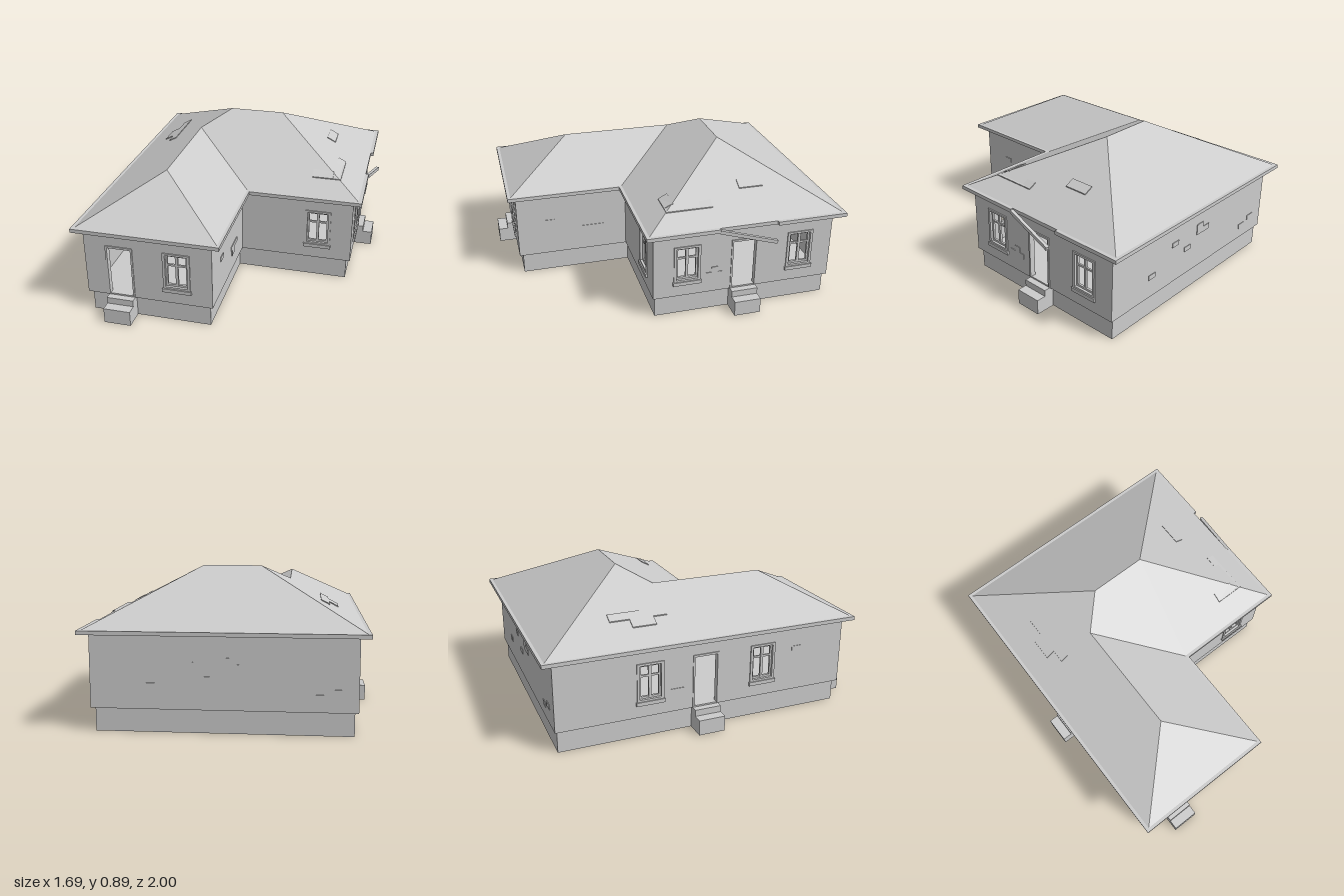
import * as THREE from 'three';

const grey = new THREE.MeshStandardMaterial({ color: 0xcccccc, flatShading: true });
const WALL_BASE = 0.135, WALL_TOP = 0.56, EAVE = 0.58, PITCH = 0.522, THICK = 0.03;

function add(parent, name, geometry) {
  const mesh = new THREE.Mesh(geometry, grey);
  mesh.name = name;
  parent.add(mesh);
  return mesh;
}

// Box given by its extents on each axis
function block(parent, name, x0, x1, y0, y1, z0, z1) {
  const g = new THREE.BoxGeometry(x1 - x0, y1 - y0, z1 - z0);
  g.translate((x0 + x1) / 2, (y0 + y1) / 2, (z0 + z1) / 2);
  return add(parent, name, g);
}

const points = (list) => list.map(([a, b]) => new THREE.Vector2(a, b));
const rect = (a0, a1, b0, b1) => points([[a0, b0], [a1, b0], [a1, b1], [a0, b1]]);

// L-shaped plan outline (x, z); the notch is the front left corner
const plan = (x0, x1, xn, z0, z1, zn) =>
  [[x0, z1], [xn, z1], [xn, zn], [x1, zn], [x1, z0], [x0, z0]];

// Horizontal slab extruded upward from a plan outline
function slab(parent, name, outline, y0, y1, hole) {
  const flip = (o) => points(o.map(([x, z]) => [x, -z]));
  const shape = new THREE.Shape(flip(outline));
  if (hole) shape.holes.push(new THREE.Path(flip(hole)));
  const g = new THREE.ExtrudeGeometry(shape, { depth: y1 - y0, bevelEnabled: false });
  g.rotateX(-Math.PI / 2).translate(0, y0, 0);
  return add(parent, name, g);
}

// Flat frame with a rectangular hole, lying between z0 and z1
function frame(parent, name, outer, inner, z0, z1) {
  const shape = new THREE.Shape(rect(...outer));
  shape.holes.push(new THREE.Path(rect(...inner)));
  const g = new THREE.ExtrudeGeometry(shape, { depth: z1 - z0, bevelEnabled: false });
  g.translate(0, 0, z0);
  return add(parent, name, g);
}

// Casing, sash, glazing bars and sill around the centre u
function addWindow(parent, u) {
  const g = new THREE.Group();
  g.name = 'window';
  g.position.x = u;
  frame(g, 'windowCasing', [-0.082, 0.082, 0.235, 0.47], [-0.066, 0.066, 0.247, 0.457], -0.02, 0.007);
  frame(g, 'windowSash', [-0.068, 0.068, 0.245, 0.459], [-0.055, 0.055, 0.26, 0.446], -0.022, -0.008);
  block(g, 'mullion', -0.008, 0.008, 0.255, 0.45, -0.021, -0.007);
  block(g, 'transom', -0.06, 0.06, 0.382, 0.394, -0.02, -0.009);
  block(g, 'windowSill', -0.088, 0.088, 0.212, 0.235, -0.01, 0.014);
  parent.add(g);
}

// Open doorway with a casing and two steps outside
function addDoor(parent, u) {
  const g = new THREE.Group();
  g.name = 'doorway';
  g.position.x = u;
  for (const s of [-1, 1]) {
    const a = s * 0.072, b = s * 0.083;
    block(g, 'doorJamb', Math.min(a, b), Math.max(a, b), 0.14, 0.47, -THICK, 0.006);
  }
  block(g, 'doorLintel', -0.083, 0.083, 0.457, 0.47, -THICK, 0.006);
  block(g, 'upperStep', -0.082, 0.082, 0, 0.135, -0.025, 0.04);
  block(g, 'lowerStep', -0.082, 0.082, 0, 0.095, 0.04, 0.1);
  parent.add(g);
}

// One outer wall: u runs along local x, outside is local +z
function addWall(parent, name, { u0, u1, windows = [], doors = [], bricks = [], position, turn }) {
  const wall = new THREE.Group();
  wall.name = name;
  const shape = new THREE.Shape(rect(u0, u1, WALL_BASE, WALL_TOP));
  for (const u of windows) {
    shape.holes.push(new THREE.Path(rect(u - 0.07, u + 0.07, 0.242, 0.462)));
    addWindow(wall, u);
  }
  for (const u of doors) {
    shape.holes.push(new THREE.Path(rect(u - 0.075, u + 0.075, 0.144, 0.462)));
    addDoor(wall, u);
  }
  const g = new THREE.ExtrudeGeometry(shape, { depth: THICK, bevelEnabled: false });
  add(wall, 'wallPanel', g.translate(0, 0, -THICK));
  // Patches of bare brick
  for (const [a, b, c, d] of bricks) block(wall, 'brickPatch', a, b, c, d, -0.004, 0.004);
  wall.position.set(...position);
  wall.rotation.y = turn;
  parent.add(wall);
}

// Roof height: two hipped volumes of equal pitch
function roofHeight(x, z) {
  const main = Math.min(x + 0.78, 0.77 - x, z + 0.98, 0.22 - z);
  const wing = Math.min(x + 0.78, 0.07 - x, z + 0.98, 0.93 - z);
  return EAVE + PITCH * Math.max(main, wing);
}

function addRoof(parent) {
  const A = [-0.78, -0.98], B = [0.77, -0.98], C = [0.77, 0.22], D = [0.07, 0.22];
  const E = [0.07, 0.93], F = [-0.78, 0.93];
  const R1 = [-0.18, -0.38], R2 = [0.17, -0.38], V = [-0.355, -0.205], W = [-0.355, 0.505];
  const slopes = [[V, R1, A, F, W], [B, A, R1, R2], [C, B, R2], [D, C, R2, R1, V], [E, D, V, W], [F, E, W]];
  const pos = [];
  for (const s of slopes)
    for (let i = 1; i < s.length - 1; i++)
      for (const [x, z] of [s[0], s[i], s[i + 1]]) pos.push(x, roofHeight(x, z), z);
  const g = new THREE.BufferGeometry();
  g.setAttribute('position', new THREE.Float32BufferAttribute(pos, 3));
  g.computeVertexNormals();
  add(parent, 'roofSlopes', g);

  // Eave slab with a gap where the gutter has broken off
  const eave = plan(-0.8, 0.793, 0.087, -1, 0.95, 0.24);
  eave.splice(4, 0, [0.793, -0.2], [0.775, -0.2], [0.775, -0.56], [0.793, -0.56]);
  slab(parent, 'eaves', eave, 0.557, EAVE);

  // Raised tile patches following the slopes
  const patches = [
    [0.59, 0.64, -0.2, 0.085], [0.46, 0.59, 0.03, 0.085], [0.485, 0.54, -0.55, -0.4],
    [-0.59, -0.54, -0.555, -0.205], [-0.645, -0.59, -0.435, -0.29],
  ];
  for (const [x0, x1, z0, z1] of patches) {
    const p = block(parent, 'tilePatch', x0, x1, -0.006, 0.006, z0, z1).geometry;
    const a = p.attributes.position;
    for (let i = 0; i < a.count; i++) a.setY(i, a.getY(i) + roofHeight(a.getX(i), a.getZ(i)));
    p.computeVertexNormals();
  }

  // Broken gutter length hanging over the side door
  const from = new THREE.Vector3(0.785, 0.563, -0.2), to = new THREE.Vector3(0.83, 0.475, -0.54);
  const gutter = add(parent, 'brokenGutter', new THREE.BoxGeometry(0.02, 0.022, from.distanceTo(to)));
  gutter.position.copy(from).lerp(to, 0.5);
  gutter.lookAt(to);
}

export function createModel() {
  const house = new THREE.Group();
  house.name = 'house';

  // Foundation skirt, open underneath, with the floor above it
  slab(house, 'foundation', plan(-0.725, 0.715, 0.01, -0.92, 0.877, 0.175), 0, WALL_BASE,
    plan(-0.71, 0.7, -0.005, -0.905, 0.862, 0.16));
  slab(house, 'floor', plan(-0.745, 0.74, 0.03, -0.935, 0.9, 0.19), WALL_BASE, 0.144);

  const H = Math.PI / 2;
  addWall(house, 'wingFrontWall', {
    u0: -0.745, u1: 0.03, doors: [-0.53], windows: [-0.183], position: [0, 0, 0.9], turn: 0,
  });
  addWall(house, 'mainFrontWall', {
    u0: 0, u1: 0.74, windows: [0.523], position: [0, 0, 0.19], turn: 0,
  });
  addWall(house, 'leftWall', {
    u0: -0.19, u1: 0.935, windows: [0.018, 0.73], doors: [0.375], position: [0.74, 0, 0], turn: H,
    bricks: [[0.13, 0.24, 0.235, 0.27], [0.17, 0.21, 0.27, 0.305]],
  });
  addWall(house, 'wingLeftWall', {
    u0: -0.9, u1: -0.19, position: [0.03, 0, 0], turn: H,
    bricks: [[-0.72, -0.66, 0.345, 0.375], [-0.48, -0.34, 0.275, 0.305], [-0.465, -0.4, 0.235, 0.275]],
  });
  addWall(house, 'rightWall', {
    u0: -0.935, u1: 0.9, windows: [-0.37, 0.35], doors: [-0.022], position: [-0.745, 0, 0], turn: -H,
    bricks: [[-0.25, -0.16, 0.25, 0.28], [0.55, 0.61, 0.395, 0.425]],
  });
  addWall(house, 'backWall', {
    u0: -0.74, u1: 0.745, position: [0, 0, -0.935], turn: Math.PI,
    bricks: [
      [-0.22, -0.16, 0.375, 0.405], [-0.43, -0.37, 0.255, 0.285], [-0.1, -0.04, 0.295, 0.325],
      [0.02, 0.08, 0.395, 0.43], [0.02, 0.14, 0.36, 0.395], [0.495, 0.555, 0.205, 0.235], [0.59, 0.65, 0.235, 0.265],
    ],
  });

  addRoof(house);
  return house;
}
